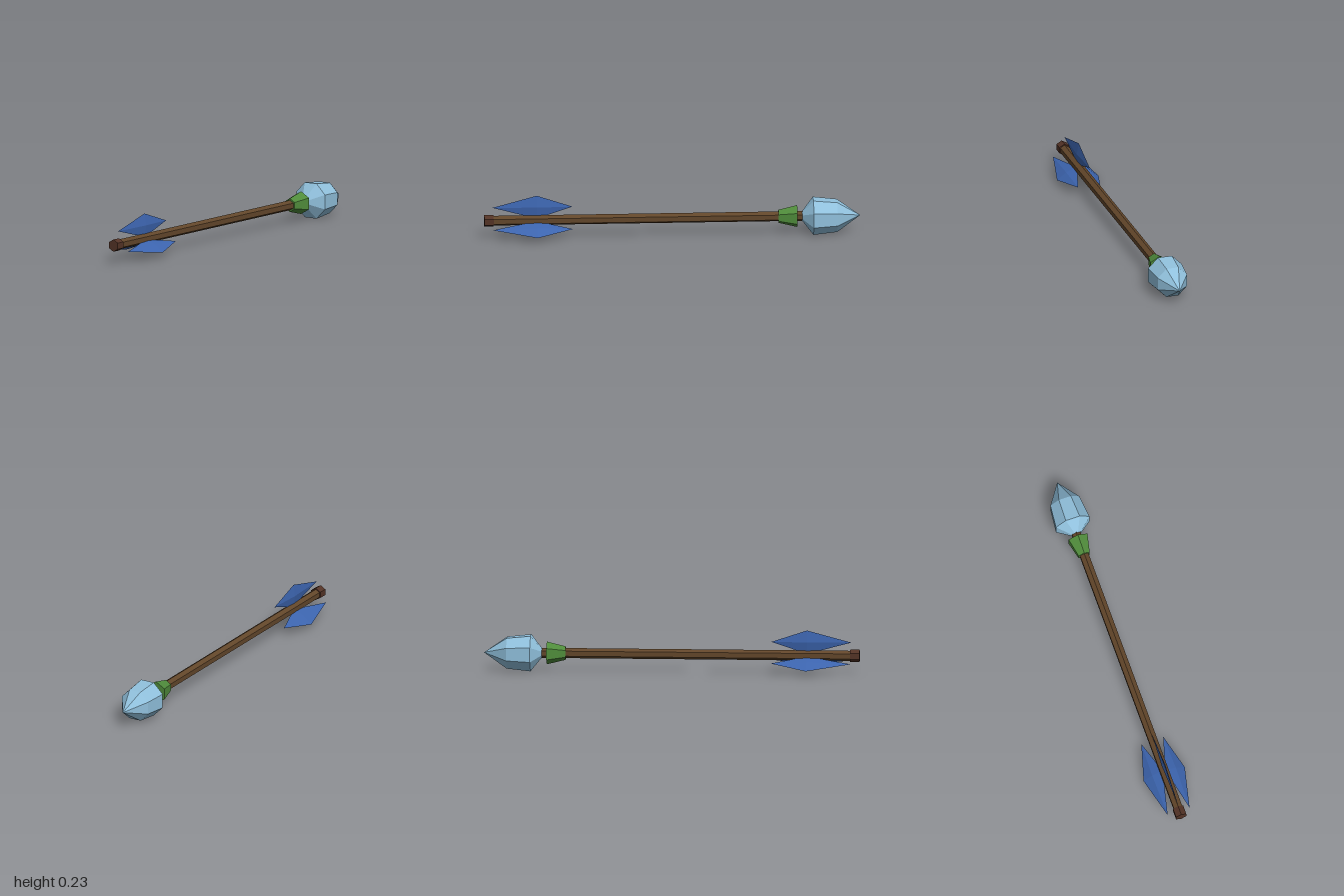
import * as THREE from 'three';

const AXIS_X = -0.002;
const AXIS_Y = 0.095;

function flat(name, color) {
  const m = new THREE.MeshStandardMaterial({ color, flatShading: true });
  m.name = name;
  return m;
}

export function createModel() {
  const arrow = new THREE.Group();
  arrow.name = 'arrow';

  const wood = flat('wood', 0x62462a);
  const darkWood = flat('dark wood', 0x533326);
  const leaf = flat('leaf green', 0x4f8b3b);
  const ice = flat('pale blue', 0x90c0dc);
  const feather = flat('feather blue', 0x3c64ae);

  function add(name, geometry, material) {
    const mesh = new THREE.Mesh(geometry, material);
    mesh.name = name;
    arrow.add(mesh);
    return mesh;
  }

  // Six-sided rod along z, from front (zf) to back (zb)
  function rod(name, rFront, rBack, zf, zb, material) {
    const g = new THREE.CylinderGeometry(rFront, rBack, zf - zb, 6);
    g.rotateX(Math.PI / 2).translate(0, 0, (zf + zb) / 2);
    return add(name, g, material);
  }

  rod('shaft', 0.027, 0.027, 0.96, -0.72, wood);
  rod('nock', 0.033, 0.033, 1, 0.95, darkWood);
  rod('collar', 0.036, 0.061, -0.565, -0.665, leaf);

  // Faceted eight-sided head tapering to a point at the back
  const profile = [[0, -1], [0.088, -0.877], [0.102, -0.75], [0.024, -0.69], [0, -0.69]]
    .map(([r, z]) => new THREE.Vector2(r, z));
  const headGeometry = new THREE.LatheGeometry(profile, 8, Math.PI / 8);
  headGeometry.rotateX(Math.PI / 2);
  add('head', headGeometry, ice);

  // Three thin diamond vanes around the shaft
  for (let i = 0; i < 3; i++) {
    const g = new THREE.OctahedronGeometry(1);
    g.scale(0.01, 0.063, 0.213).translate(0, 0.071, 0.743 - 0.0);
    // Sweep the outer and inner corners slightly towards the head
    const p = g.attributes.position;
    for (let k = 0; k < p.count; k++) {
      if (Math.abs(p.getZ(k) - 0.743) < 0.01) p.setZ(k, 0.72);
    }
    g.rotateZ(THREE.MathUtils.degToRad(1.5 + i * 120));
    add('vane' + (i + 1), g, feather);
  }

  arrow.position.set(AXIS_X, AXIS_Y, 0);
  const model = new THREE.Group();
  model.name = 'model';
  model.add(arrow);
  return model;
}
